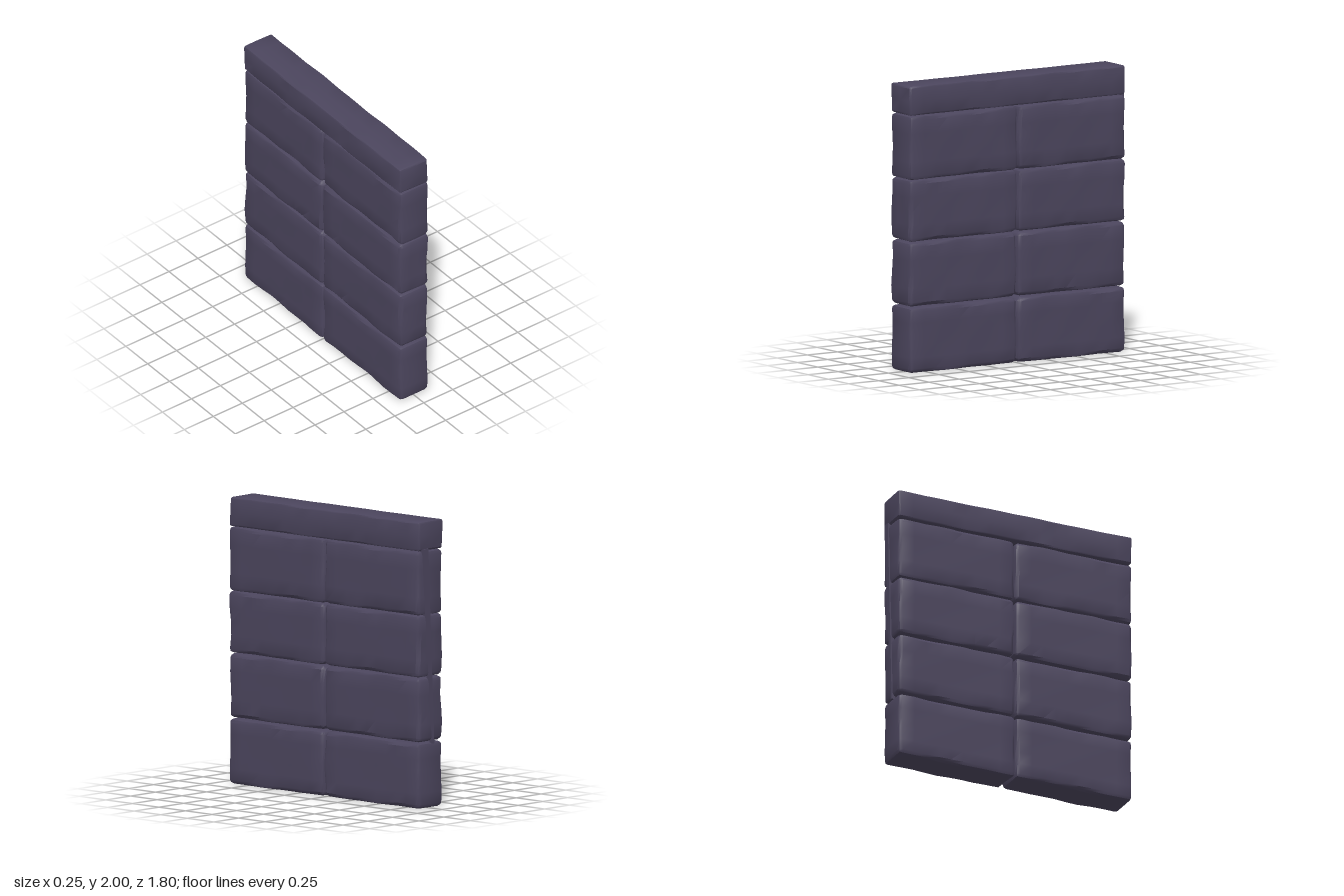
import * as THREE from 'three';
import { mergeVertices, toCreasedNormals } from 'three/addons/utils/BufferGeometryUtils.js';

// Stone block between two corners: bevelled edges and a gently worn surface
function blockGeometry(min, max, bevel, wear, seed) {
  const size = max.map((v, i) => v - min[i]);
  const mid = max.map((v, i) => (v + min[i]) / 2);
  const segs = size.map((s) => Math.max(4, Math.round(s / 0.1) + 2));
  let geo = new THREE.BoxGeometry(1, 1, 1, ...segs);
  geo.deleteAttribute('uv');
  geo.deleteAttribute('normal');
  geo = mergeVertices(geo, 1e-4);
  const pos = geo.attributes.position;
  for (let v = 0; v < pos.count; v++) {
    const p = [0, 1, 2].map((a) => {
      // the outermost ring of segments becomes the bevel
      const n = segs[a], half = size[a] / 2, inner = half - bevel;
      const i = Math.round((pos.getComponent(v, a) + 0.5) * n);
      if (i === 0) return -half;
      if (i === n) return half;
      return -inner + (2 * inner * (i - 1)) / (n - 2);
    });
    const core = p.map((c, a) => THREE.MathUtils.clamp(c, bevel - size[a] / 2, size[a] / 2 - bevel));
    const out = new THREE.Vector3(...p.map((c, a) => c - core[a])).normalize();
    // edges wear more than flat faces
    const edge = Math.max(Math.abs(out.x), Math.abs(out.y), Math.abs(out.z)) < 0.95 ? 1 : 0.3;
    const noise = Math.sin(p[2] * 13 + seed * 2.1 + p[0] * 9) * Math.sin(p[1] * 15 + seed * 1.3 + p[2] * 5);
    const r = bevel + wear * edge * (noise - 0.3);
    pos.setXYZ(v, mid[0] + core[0] + out.x * r, mid[1] + core[1] + out.y * r, mid[2] + core[2] + out.z * r);
  }
  return toCreasedNormals(geo, 0.6);
}

export function createModel() {
  const group = new THREE.Group();
  const stone = new THREE.MeshStandardMaterial({ color: 0x4b455d });
  stone.name = 'dark stone';

  const add = (name, geo) => {
    const mesh = new THREE.Mesh(geo, stone);
    mesh.name = name;
    group.add(mesh);
  };

  // Courses of two blocks each: bottom, top, -x face, +x face
  const courses = [
    [0.003, 0.457, -0.127, 0.12],
    [0.465, 0.912, -0.127, 0.116],
    [0.918, 1.347, -0.13, 0.12],
    [1.349, 1.793, -0.125, 0.122],
  ];
  courses.forEach(([y0, y1, x0, x1], i) => {
    const joint = [0.01, 0.008, 0.004, 0.004][i];
    add('frontBlock' + (i + 1), blockGeometry([x0, y0, joint], [x1, y1, 0.9], 0.028, 0.007, i * 2 + 1));
    add('backBlock' + (i + 1), blockGeometry([x0, y0, -0.891], [x1, y1, joint - 0.006], 0.028, 0.007, i * 2 + 2));
  });

  // Long capping stone
  add('capStone', blockGeometry([-0.127, 1.797, -0.891], [0.114, 2, 0.896], 0.014, 0.004, 11));

  // Thin tapering splinter on the back end
  const outline = new THREE.Shape([
    new THREE.Vector2(0.03, 1.81),
    new THREE.Vector2(0.085, 1.81),
    new THREE.Vector2(-0.015, 0.45),
    new THREE.Vector2(-0.03, 0.45),
  ]);
  const splinter = new THREE.ExtrudeGeometry(outline, { depth: 0.03, bevelEnabled: false });
  splinter.translate(0, 0, -0.9);
  add('backSplinter', splinter);

  return group;
}
